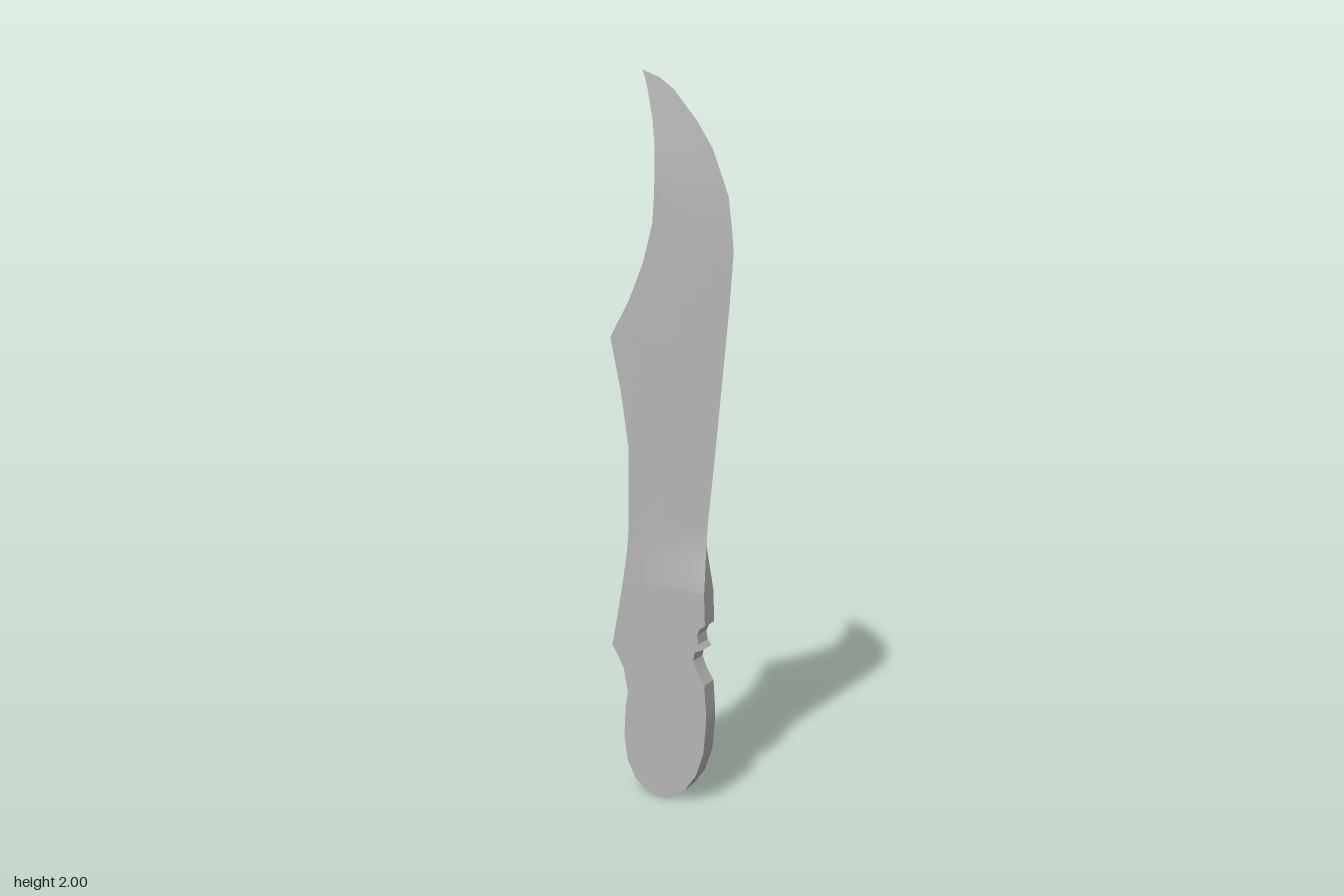
import * as THREE from 'three';
import { toCreasedNormals } from 'three/addons/utils/BufferGeometryUtils.js';

const T = 0.026; // half thickness

// Each row: [y, spine x, bevel-line x, edge x, spine half thickness, edge half thickness]
const handleRows = [
  [0, -0.05, -0.03, 0, T, T],
  [0.01, -0.068, -0.03, 0.015, T, T],
  [0.04, -0.11, -0.03, 0.055, T, T],
  [0.09, -0.135, -0.03, 0.09, T, T],
  [0.16, -0.145, -0.03, 0.113, T, T],
  [0.25, -0.14, -0.03, 0.121, T, T],
  [0.29, -0.132, -0.03, 0.12, T, T],
  [0.36, -0.145, -0.03, 0.115, T, T],
  [0.39, -0.16, -0.03, 0.095, T, T],
  [0.425, -0.183, -0.03, 0.08, T, T],
  [0.45, -0.178, -0.03, 0.085, T, T],
  [0.46, -0.176, -0.03, 0.108, T, T],
  [0.474, -0.173, -0.02, 0.096, T, T],
  [0.5, -0.168, 0, 0.092, T, T],
  [0.518, -0.164, 0.01, 0.1, T, T],
  [0.53, -0.162, 0.02, 0.116, T, T],
  [0.62, -0.146, 0.113, 0.113, T, T],
];
const bladeRows = [
  handleRows[handleRows.length - 1],
  [0.66, -0.139, 0.04, 0.111, T, 0.018],
  [0.7, -0.133, 0, 0.108, T, 0.01],
  [0.75, -0.128, -0.025, 0.106, T, 0],
  [0.8, -0.126, -0.03, 0.108, T, 0],
  [1.0, -0.125, -0.024, 0.13, T, 0],
  [1.15, -0.148, -0.016, 0.145, T, 0],
  [1.3, -0.181, -0.008, 0.16, T, 0],
  [1.4, -0.122, -0.003, 0.17, T, 0],
  [1.5, -0.078, 0, 0.178, T, 0],
  [1.54, -0.066, 0, 0.181, T, 0],
  [1.61, -0.047, -0.003, 0.174, T, 0],
  [1.68, -0.042, -0.022, 0.165, T, 0],
  [1.73, -0.04, -0.04, 0.146, T, 0],
  [1.8, -0.043, -0.043, 0.118, 0.02, 0],
  [1.87, -0.053, -0.053, 0.072, 0.013, 0],
  [1.95, -0.073, -0.073, 0.002, 0.005, 0],
  [1.98, -0.083, -0.083, -0.04, 0.002, 0],
  [2.0, -0.091, -0.091, -0.091, 0, 0],
];

// Six-point cross-section of one row
function ring([y, l, m, r, tl, tr]) {
  return [[l, tl], [m, tl], [r, tr], [r, -tr], [m, -tl], [l, -tl]]
    .map(([x, z]) => new THREE.Vector3(x, y, z));
}

// Skin consecutive cross-sections, skipping collapsed triangles
function loft(rows, capBottom) {
  const points = [];
  const tri = (a, b, c) => {
    const area = b.clone().sub(a).cross(c.clone().sub(a)).length();
    if (area > 1e-8) points.push(a, b, c);
  };
  const rings = rows.map(ring);
  for (let i = 0; i < rings.length - 1; i++) {
    const a = rings[i], b = rings[i + 1];
    for (let j = 0; j < 6; j++) {
      const k = (j + 1) % 6;
      tri(a[j], a[k], b[k]);
      tri(a[j], b[k], b[j]);
    }
  }
  if (capBottom) {
    for (let j = 1; j < 5; j++) tri(rings[0][0], rings[0][j + 1], rings[0][j]);
  }
  return toCreasedNormals(new THREE.BufferGeometry().setFromPoints(points), 0.45);
}

export function createModel() {
  const group = new THREE.Group();
  group.name = 'knife';
  const steel = new THREE.MeshStandardMaterial({ color: 0xb5b5b5 });
  steel.name = 'grey steel';

  // Flat grip with rounded butt and finger notches
  const handle = new THREE.Mesh(loft(handleRows, true), steel);
  handle.name = 'handle';

  // Blade with a flat spine side and a ground cutting edge
  const blade = new THREE.Mesh(loft(bladeRows, false), steel);
  blade.name = 'blade';

  group.add(handle, blade);
  return group;
}
